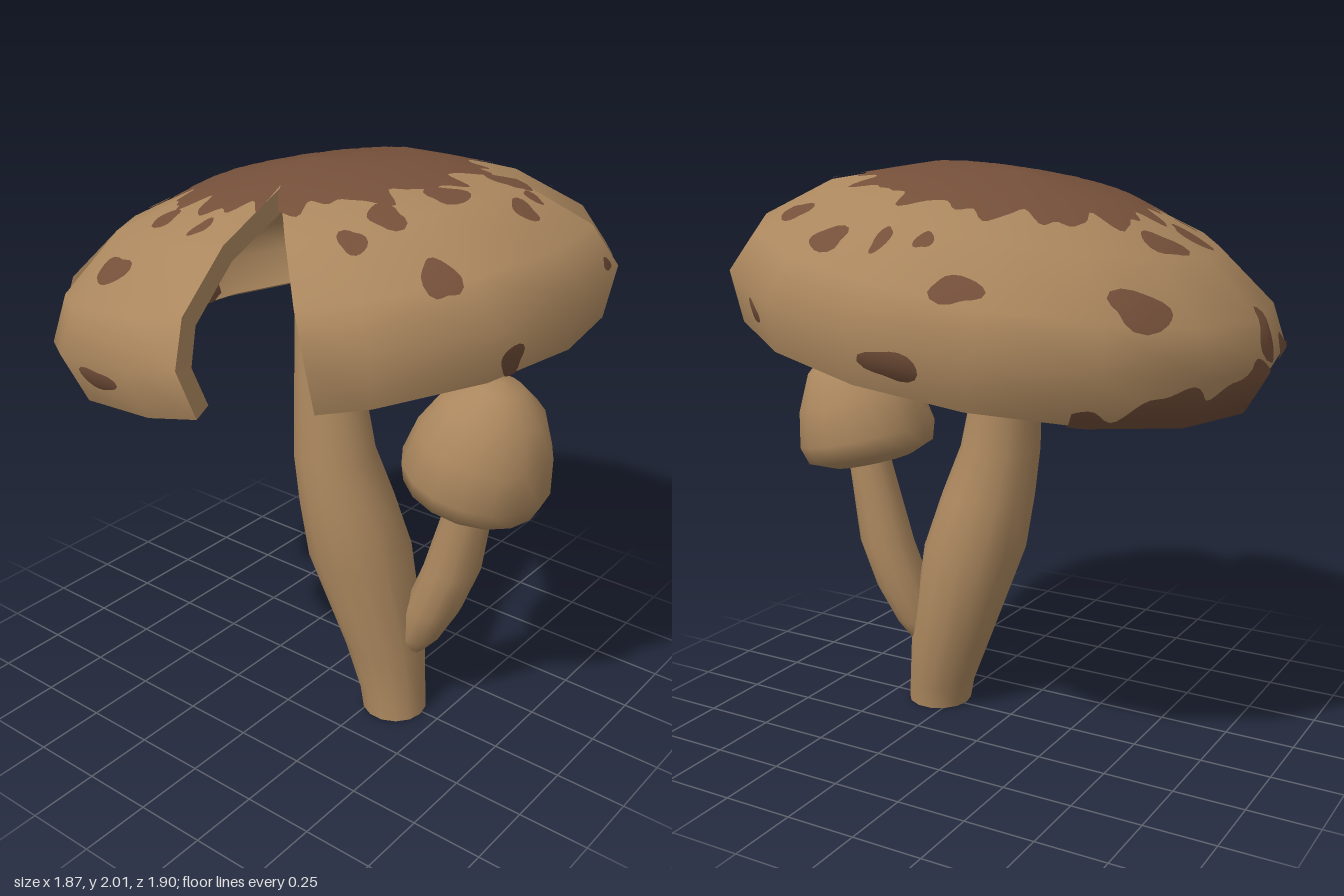
import * as THREE from 'three';
import { toCreasedNormals } from 'three/addons/utils/BufferGeometryUtils.js';

const DEG = Math.PI / 180;
const { lerp } = THREE.MathUtils;

const tan = new THREE.MeshStandardMaterial({ color: 0xab875e });
tan.name = 'tan flesh';
const brown = new THREE.MeshStandardMaterial({ color: 0x75503a });
brown.name = 'dark brown patches';

// Cap cross-section [radius, height]: outer skin from apex to rim, then the inside back to the apex
const PROFILE = [
  [0, 0.585], [0.35, 0.557], [0.665, 0.455], [0.88, 0.3], [0.95, 0.165], [0.89, 0],
  [0.82, 0.02], [0.87, 0.15], [0.82, 0.26], [0.63, 0.4], [0.34, 0.49], [0, 0.52],
];
const LENGTHS = [0];
const SLOPES = [];
for (let i = 1; i < PROFILE.length; i++) {
  const dr = PROFILE[i][0] - PROFILE[i - 1][0], dh = PROFILE[i][1] - PROFILE[i - 1][1];
  const len = Math.hypot(dr, dh);
  LENGTHS.push(LENGTHS[i - 1] + len);
  SLOPES.push(new THREE.Vector2(-dh / len, dr / len));
}
const PROFILE_NORMALS = PROFILE.map((_, i) =>
  SLOPES[Math.max(i - 1, 0)].clone().add(SLOPES[Math.min(i, SLOPES.length - 1)]).normalize());

// Edge angles of the three tears, one per outer profile row
const wedgeRight = [67.5, 67.5, 59, 56.5, 55.5, 55.5];
const wedgeLeft = [67.5, 67.5, 75.5, 78.7, 79, 79];
const sideRight = [135, 135, 135, 126.6, 124, 124];
const sideLeft = [135, 135, 135, 144.7, 146.3, 146.5];
const backStart = [-22.5, -22.5, -22.5, -22.5, -22.5, -22.5];
const backEnd = [337.5, 337.5, 337.5, 337.5, 328, 326.3];

// Point on the sixteen-sided cap
function capPoint(r, h, phi) {
  const d = ((phi + 720) % 22.5) - 11.25;
  const R = r * Math.cos(11.25 * DEG) / Math.cos(d * DEG);
  return new THREE.Vector3(R * Math.cos(phi * DEG), h, R * Math.sin(phi * DEG));
}

function locate(s) {
  let i = 0;
  while (i < LENGTHS.length - 2 && s > LENGTHS[i + 1]) i++;
  return [i, (s - LENGTHS[i]) / (LENGTHS[i + 1] - LENGTHS[i])];
}

// Point just above the cap skin, at arc length s from the apex
function skinPoint(s, phi) {
  const [i, t] = locate(s);
  const n2 = PROFILE_NORMALS[i].clone().lerp(PROFILE_NORMALS[i + 1], t).normalize();
  const r = lerp(PROFILE[i][0], PROFILE[i + 1][0], t);
  const h = lerp(PROFILE[i][1], PROFILE[i + 1][1], t);
  const n = new THREE.Vector3(n2.x * Math.cos(phi * DEG), n2.y, n2.x * Math.sin(phi * DEG));
  return { p: capPoint(r, h, phi).addScaledVector(n, 0.007), n };
}

const edgeAt = (edge, s) => {
  const [i, t] = locate(s);
  return lerp(edge[i], edge[i + 1], t);
};

// Sheet of rows x cols cells; fn gives { p, n } for each corner. Extra triangles may be added
function sheet(rows, cols, fn, extra = []) {
  const pos = [], nor = [], index = [...extra];
  for (let i = 0; i <= rows; i++) {
    for (let j = 0; j <= cols; j++) {
      const { p, n } = fn(i, j);
      pos.push(p.x, p.y, p.z);
      if (n) nor.push(n.x, n.y, n.z);
      if (i < rows && j < cols) {
        const a = i * (cols + 1) + j, c = a + cols + 1;
        index.push(a, a + 1, c, a + 1, c + 1, c);
      }
    }
  }
  const g = new THREE.BufferGeometry();
  g.setAttribute('position', new THREE.Float32BufferAttribute(pos, 3));
  g.setIndex(index);
  if (!nor.length) return toCreasedNormals(g, 60 * DEG);
  g.setAttribute('normal', new THREE.Float32BufferAttribute(nor, 3));
  return g;
}

// Round body from horizontal rings [x, y, z, radius], listed top to bottom
function loft(rings, sides) {
  return sheet(rings.length - 1, sides, (i, j) => {
    const [x, y, z, r] = rings[i], a = (j % sides) / sides * Math.PI * 2;
    return { p: new THREE.Vector3(x + r * Math.cos(a), y, z + r * Math.sin(a)) };
  });
}

// One solid lobe of the cap between two torn edges
function capLobe(start, middle, end) {
  const columns = [start, ...middle.map((a) => Array(6).fill(a)), end];
  const w = columns.length, last = PROFILE.length - 1, walls = [];
  for (let i = 0; i < 5; i++) {
    for (const [j, flip] of [[0, false], [w - 1, true]]) {
      const o = i * w + j, o2 = o + w, n = (last - i) * w + j, n2 = n - w;
      walls.push(...(flip ? [o, n, o2, o2, n, n2] : [o, o2, n, o2, n2, n]));
    }
  }
  return sheet(last, w - 1, (i, j) => ({
    p: capPoint(...PROFILE[i], columns[j][Math.min(i, last - i)]),
  }), walls);
}

// Irregular blob lying on the cap
function spot(phi, s, a, b, seed) {
  const r = PROFILE[locate(s)[0] + 1][0];
  return sheet(4, 18, (i, j) => {
    const t = (j % 18) / 18 * Math.PI * 2;
    const k = i / 4 * (1 + 0.15 * Math.sin(2 * t + seed) + 0.12 * Math.sin(3 * t + seed * 2.3));
    return skinPoint(Math.min(s + k * a * Math.cos(t), 1.272), phi + k * b * Math.sin(t) / r / DEG);
  });
}

// Patch between two arc lengths over a range of angles
const band = (phi0, phi1, sTop, sBottom, cols) => sheet(8, cols, (i, j) => {
  const u = j / cols;
  return skinPoint(lerp(sTop(u), sBottom(u), i / 8), lerp(phi0, phi1, u));
});

// [angle, arc length, half height, half width]
const SPOTS = [
  [253, 0.9, 0.055, 0.08], [288, 0.84, 0.055, 0.07], [275, 0.78, 0.06, 0.03], [265, 0.74, 0.04, 0.03],
  [311, 0.81, 0.05, 0.07], [215, 0.89, 0.07, 0.12], [194, 0.61, 0.08, 0.085], [170, 0.6, 0.085, 0.06],
  [152, 0.56, 0.04, 0.04], [112, 0.55, 0.05, 0.07], [108, 0.8, 0.06, 0.085], [88, 0.58, 0.05, 0.03],
  [32, 0.64, 0.07, 0.06], [43, 0.73, 0.05, 0.05], [28.5, 0.92, 0.08, 0.05], [354, 0.78, 0.05, 0.07],
  [9, 0.61, 0.06, 0.08], [342, 0.66, 0.08, 0.04], [344, 0.76, 0.04, 0.03], [178, 1.0, 0.08, 0.08],
  [151, 0.85, 0.07, 0.05], [101.5, 1.16, 0.04, 0.085], [-17, 1.07, 0.02, 0.03], [17, 1.22, 0.045, 0.05],
  [300, 1.17, 0.035, 0.04], [262, 1.17, 0.05, 0.08],
];

export function createModel() {
  const model = new THREE.Group();
  model.name = 'mushrooms';
  const add = (parent, name, geometry, material) => {
    const mesh = new THREE.Mesh(geometry, material);
    mesh.name = name;
    parent.add(mesh);
    return mesh;
  };

  // Stems
  add(model, 'mainStem', loft([
    [-0.02, 1.89, 0.03, 0.08], [0.035, 1.4, 0.07, 0.105], [0.09, 1, 0.085, 0.145], [0.13, 0.82, 0.065, 0.17],
    [0.175, 0.62, 0.043, 0.188], [0.26, 0.25, 0, 0.147], [0.305, 0.08, 0.01, 0.122],
    [0.318, 0, 0.015, 0.117], [0.318, 0, 0.015, 0],
  ], 14), tan);
  add(model, 'smallStem', loft([
    [0.585, 1.05, -0.06, 0.07], [0.56, 0.9, -0.06, 0.08], [0.5, 0.62, -0.055, 0.1], [0.44, 0.45, -0.04, 0.1],
    [0.39, 0.32, -0.025, 0.08], [0.35, 0.24, -0.02, 0.05], [0.34, 0.22, -0.02, 0],
  ], 12), tan);

  // Small cap and its underside
  const smallCap = new THREE.Group();
  smallCap.name = 'smallCap';
  smallCap.position.set(0.575, 1.02, -0.055);
  smallCap.rotation.z = -13 * DEG;
  model.add(smallCap);
  const ring = ([r, y]) => [0, y, 0, r];
  add(smallCap, 'smallCapSkin', loft([
    [0, 0.345], [0.08, 0.335], [0.17, 0.26], [0.23, 0.13], [0.255, 0], [0.235, -0.065], [0.15, -0.1],
  ].map(ring), 16), tan);
  add(smallCap, 'smallCapUnderside', loft([[0.15, -0.1], [0.11, -0.06], [0, -0.04]].map(ring), 16), brown);

  // Large tilted cap in three lobes
  const cap = new THREE.Group();
  cap.name = 'largeCap';
  cap.position.set(0.03, 1.395, 0);
  cap.rotation.z = 10 * DEG;
  model.add(cap);
  add(cap, 'leftLobe', capLobe(backStart, [0, 22.5, 45], wedgeRight), tan);
  add(cap, 'frontLobe', capLobe(wedgeLeft, [90, 112.5], sideRight), tan);
  add(cap, 'backLobe', capLobe(sideLeft, [157.5, 180, 202.5, 225, 247.5, 270, 292.5, 315], backEnd), tan);

  // Ragged crown patch, split by the wedge tear
  add(cap, 'crownPatch', sheet(12, 200, (i, j) => {
    const u = j / 200, a = (67.5 + 360 * u) * DEG;
    const reach = 0.51 + 0.04 * Math.cos(a) - 0.03 * Math.sin(a) + 0.035 * Math.sin(13 * a)
      + 0.025 * Math.sin(23 * a + 1) + 0.012 * Math.sin(37 * a);
    const s = reach * i / 12;
    return skinPoint(s, lerp(edgeAt(wedgeLeft, s), 360 + edgeAt(wedgeRight, s), u));
  }), brown);

  SPOTS.forEach(([phi, s, a, b], i) => add(cap, 'spot', spot(phi, s, a, b, i * 1.7), brown));

  // Stains along the rim and inside the cap
  add(cap, 'rimStain', band(147, 228, (u) => 1.07 + 0.17 * u * u + 0.03 * Math.sin(u * 23) + 0.015 * Math.sin(u * 51),
    () => 1.273, 60), brown);
  add(cap, 'innerStain', band(147.5, 168, (u) => 1.36 + 0.02 * Math.sin(u * 9),
    (u) => 1.72 - 0.25 * u * u + 0.03 * Math.sin(u * 19), 24), brown);
  add(cap, 'innerStain', band(181, 198, (u) => 1.36 + 0.02 * Math.sin(u * 7),
    (u) => 1.62 + 0.12 * Math.sin(u * 3.1) + 0.02 * Math.sin(u * 21), 24), brown);

  return model;
}
